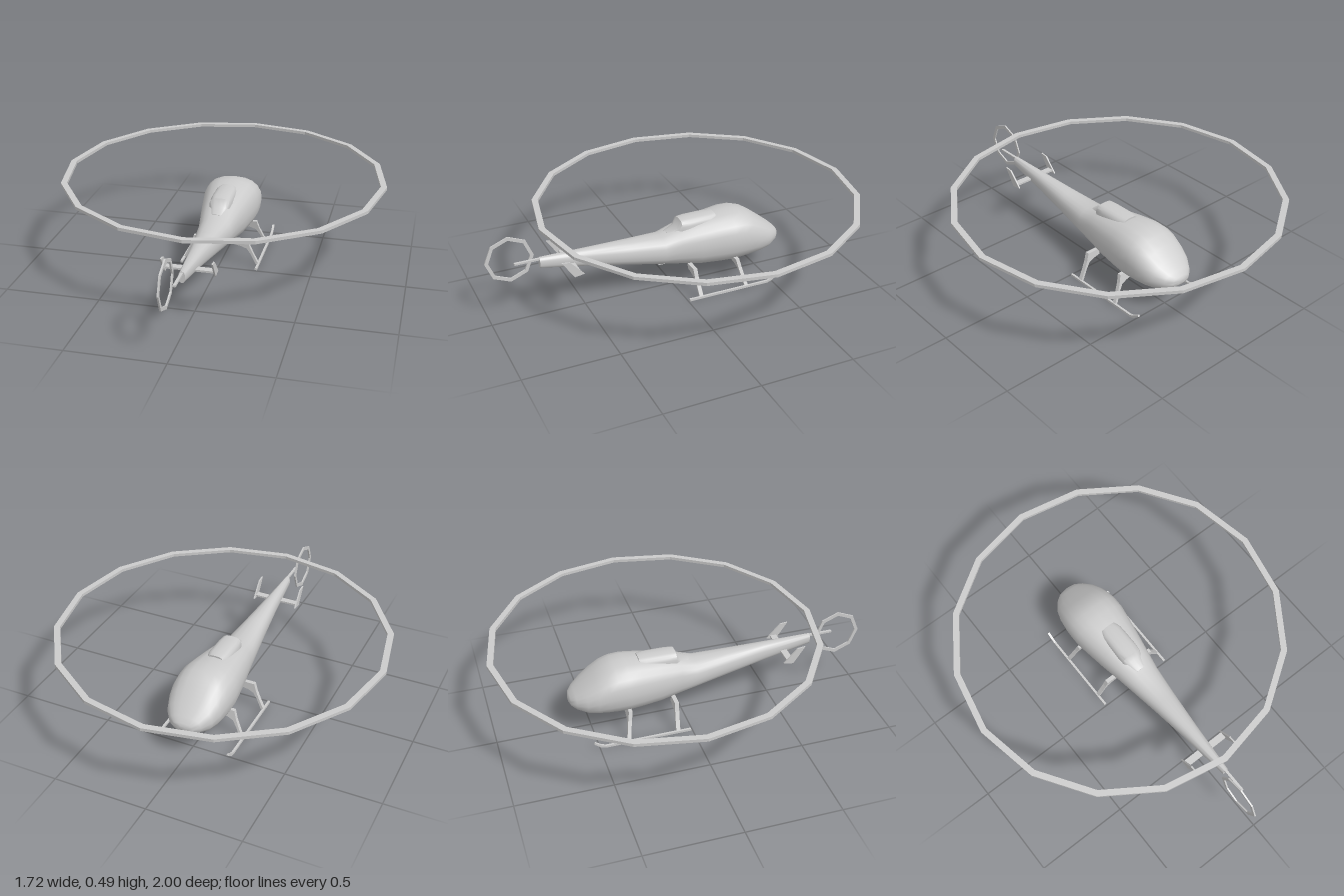
import * as THREE from 'three';
import { toCreasedNormals } from 'three/addons/utils/BufferGeometryUtils.js';

const smoothGrey = new THREE.MeshStandardMaterial({ color: 0xcccccc });
const flatGrey = new THREE.MeshStandardMaterial({ color: 0xcccccc, flatShading: true });

function add(parent, name, geometry, material = flatGrey) {
  const mesh = new THREE.Mesh(geometry, material);
  mesh.name = name;
  parent.add(mesh);
  return mesh;
}

// Skin over rounded sections; each station is [z, halfWidth, bottom, top]
function loft(stations, power, sides = 20) {
  const pos = [], index = [];
  const bend = (v) => Math.sign(v) * Math.abs(v) ** (2 / power);
  for (const [z, w, y0, y1] of stations) {
    for (let j = 0; j < sides; j++) {
      const a = (j / sides) * Math.PI * 2;
      pos.push(w * bend(Math.cos(a)), (y0 + y1) / 2 + ((y1 - y0) / 2) * bend(Math.sin(a)), z);
    }
  }
  const last = stations.length - 1;
  for (let i = 0; i < last; i++) {
    for (let j = 0; j < sides; j++) {
      const k = (j + 1) % sides;
      const a = i * sides + j, b = i * sides + k;
      index.push(a, b, a + sides, b, b + sides, a + sides);
    }
  }
  for (let j = 1; j < sides - 1; j++) {
    index.push(0, j + 1, j);
    index.push(last * sides, last * sides + j, last * sides + j + 1);
  }
  const g = new THREE.BufferGeometry();
  g.setAttribute('position', new THREE.Float32BufferAttribute(pos, 3));
  g.setIndex(index);
  return toCreasedNormals(g, 0.75);
}

// Polygonal hoop with a rectangular section, lying flat
function hoop(outer, inner, thickness, sides) {
  const h = thickness / 2;
  const profile = [[inner, -h], [outer, -h], [outer, h], [inner, h], [inner, -h]];
  return new THREE.LatheGeometry(profile.map((p) => new THREE.Vector2(...p)), sides);
}

// Plate cut from an outline and centred on its thickness
function plate(points, depth) {
  const shape = new THREE.Shape(points.map((p) => new THREE.Vector2(...p)));
  return new THREE.ExtrudeGeometry(shape, { depth, bevelEnabled: false }).translate(0, 0, -depth / 2);
}

export function createModel() {
  const model = new THREE.Group();
  model.name = 'helicopter';

  // Cabin tapering into the tail boom, nose towards -z
  add(model, 'fuselage', loft([
    [-0.613, 0.02, 0.187, 0.212],
    [-0.605, 0.055, 0.175, 0.225],
    [-0.58, 0.088, 0.158, 0.248],
    [-0.53, 0.124, 0.136, 0.287],
    [-0.475, 0.143, 0.123, 0.33],
    [-0.42, 0.152, 0.115, 0.366],
    [-0.37, 0.155, 0.11, 0.383],
    [-0.31, 0.154, 0.107, 0.387],
    [-0.24, 0.143, 0.108, 0.381],
    [-0.13, 0.125, 0.115, 0.365],
    [-0.02, 0.105, 0.137, 0.343],
    [0.07, 0.09, 0.154, 0.314],
    [0.25, 0.066, 0.187, 0.319],
    [0.46, 0.042, 0.227, 0.326],
    [0.73, 0.016, 0.274, 0.333],
  ], 2.45), smoothGrey);

  // Raised engine cowl on the roof
  add(model, 'engineCowl', loft([
    [-0.235, 0.05, 0.27, 0.389],
    [-0.2, 0.06, 0.27, 0.391],
    [-0.08, 0.06, 0.27, 0.39],
    [-0.035, 0.056, 0.27, 0.387],
    [-0.015, 0.047, 0.27, 0.348],
    [0.04, 0.035, 0.25, 0.325],
  ], 3.2), smoothGrey);

  // Main and tail rotor hoops
  add(model, 'mainRotorRing', hoop(0.86, 0.828, 0.016, 16)).position.set(0, 0.481, -0.14);
  const tailRing = add(model, 'tailRotorRing', hoop(0.127, 0.108, 0.008, 8));
  tailRing.rotation.z = Math.PI / 2;
  tailRing.position.set(-0.037, 0.335, 0.873);

  // Thin spar behind the boom
  add(model, 'tailSpar', new THREE.BoxGeometry(0.014, 0.01, 0.16)).position.set(0, 0.323, 0.78);

  // Tailplane with a slanted plate at each tip
  add(model, 'tailplane', new THREE.BoxGeometry(0.25, 0.01, 0.036)).position.set(0, 0.272, 0.572);
  const finOutline = [[-0.537, 0.26], [-0.59, 0.252], [-0.652, 0.345], [-0.61, 0.34]];

  const legOutline = [
    [0.208, 0.008], [0.193, 0.008], [0.166, 0.065], [0.145, 0.097], [0.115, 0.11],
    [0.075, 0.118], [0.075, 0.15], [0.148, 0.15], [0.162, 0.105], [0.182, 0.06],
  ];
  const skidOutline = [
    [0.008, 0.003], [0.47, 0.003], [0.497, 0.012], [0.53, 0.038],
    [0.525, 0.046], [0.49, 0.023], [0.468, 0.015], [0.008, 0.015],
  ];

  for (const side of [1, -1]) {
    const label = side > 0 ? 'left' : 'right';

    const fin = add(model, label + 'TailFin', plate(finOutline, 0.008));
    fin.rotation.y = Math.PI / 2;
    fin.position.x = side * 0.125;

    // Landing gear: upturned skid and two flared legs leaning along z
    const skid = add(model, label + 'Skid', plate(skidOutline, 0.012));
    skid.rotation.y = Math.PI / 2;
    skid.position.x = side * 0.206;

    for (const [name, footZ, lean, depth] of [['FrontLeg', -0.346, 0.2, 0.02], ['RearLeg', -0.078, 0.08, 0.022]]) {
      const outline = legOutline.map(([x, y]) => [side * x, y]);
      const leg = plate(outline, depth);
      const p = leg.attributes.position;
      for (let i = 0; i < p.count; i++) p.setZ(i, p.getZ(i) + footZ + lean * p.getY(i));
      add(model, label + name, leg);
    }
  }

  // Settle the lowest point on the ground
  model.children.forEach((part) => { if (part.name.endsWith('Skid')) part.position.y = -0.003; });
  return model;
}
